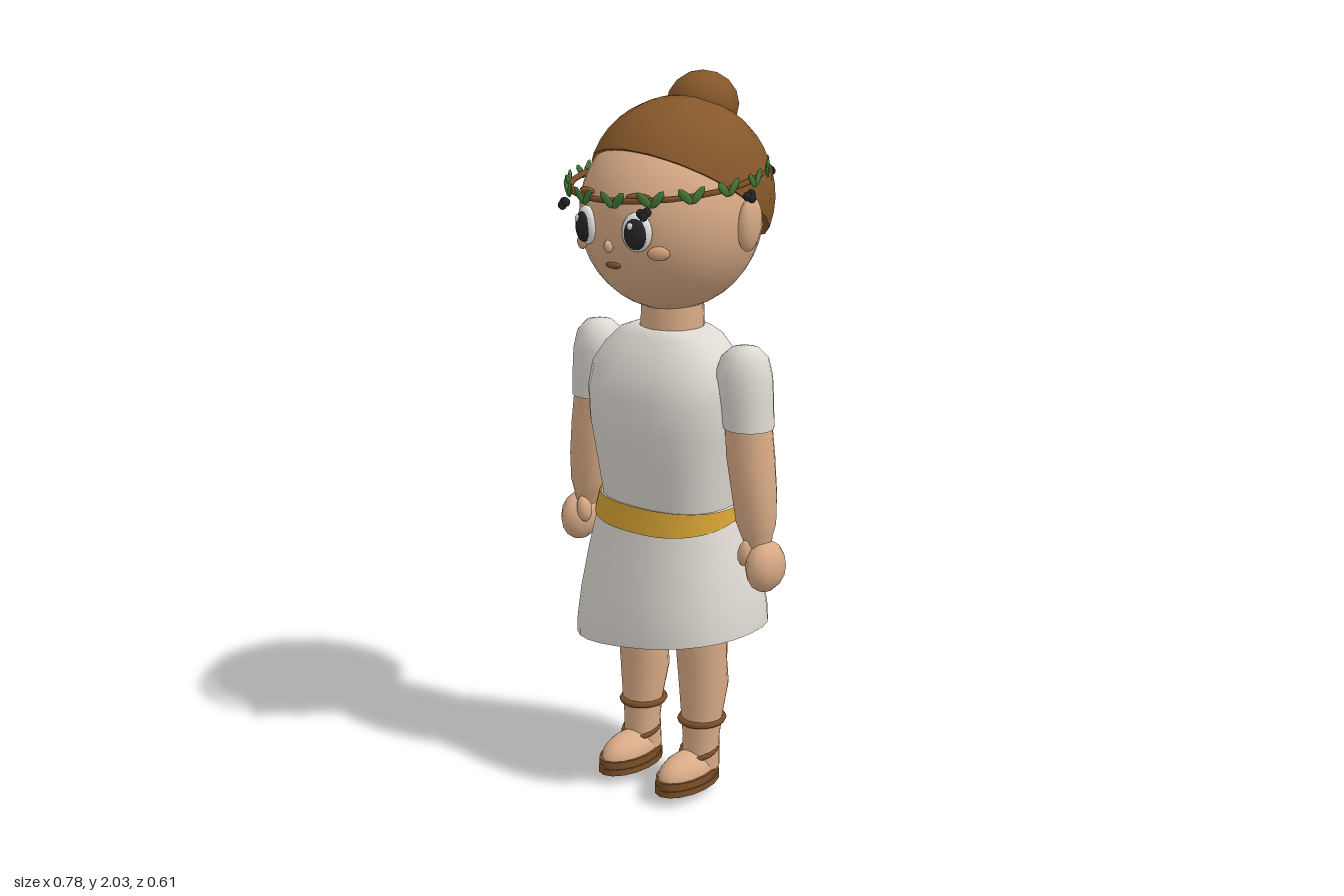
import * as THREE from 'three';

const mat = (name, color, side = THREE.FrontSide) => {
  const m = new THREE.MeshStandardMaterial({ color, side });
  m.name = name;
  return m;
};

// Stack of rounded rings, top to bottom: [y, halfWidth, zFront, zBack, xCentre]
function loft(rings, { n = 2, segs = 24, tweak } = {}) {
  const pos = [], idx = [];
  const bend = (v) => Math.sign(v) * Math.abs(v) ** (2 / n);
  rings.forEach(([y, rx, zf, zb, cx = 0], r) => {
    for (let i = 0; i < segs; i++) {
      const a = (i / segs) * Math.PI * 2;
      const p = new THREE.Vector3(
        cx + rx * bend(Math.sin(a)), y,
        (zf + zb) / 2 + ((zf - zb) / 2) * bend(Math.cos(a)));
      if (tweak) tweak(p, r);
      pos.push(p.x, p.y, p.z);
      if (r === rings.length - 1) continue;
      const j = (i + 1) % segs, t = r * segs, b = t + segs;
      idx.push(t + i, b + i, t + j, b + i, b + j, t + j);
    }
  });
  const g = new THREE.BufferGeometry();
  g.setAttribute('position', new THREE.Float32BufferAttribute(pos, 3));
  g.setIndex(idx);
  g.computeVertexNormals();
  return g;
}

export function createModel() {
  const model = new THREE.Group();
  model.name = 'figure';
  const skin = mat('skin', 0xd9ab86);
  const blush = mat('blush', 0xd6a07c);
  const hair = mat('hair brown', 0x85572a);
  const leather = mat('leather brown', 0x7c4f28);
  const cloth = mat('cloth white', 0xdedad2, THREE.DoubleSide);
  const gold = mat('gold', 0xd2a032, THREE.DoubleSide);
  const green = mat('leaf green', 0x447a38);
  const black = mat('black', 0x242426);
  const white = mat('eye white', 0xf2f2f0);

  const add = (name, geo, m, parent = model) => {
    const mesh = new THREE.Mesh(geo, m);
    mesh.name = name;
    parent.add(mesh);
    return mesh;
  };
  const ball = (name, m, [x, y, z], [sx, sy, sz], parent = model, w = 16, h = 12) => {
    const b = add(name, new THREE.SphereGeometry(1, w, h), m, parent);
    b.position.set(x, y, z);
    b.scale.set(sx, sy, sz);
    return b;
  };

  // Head, hair cap tilted back, bun
  ball('head', skin, [0, 1.63, -0.005], [0.243, 0.262, 0.258], model, 28, 20);
  const cap = new THREE.Group();
  cap.name = 'hairCap';
  cap.position.set(0, 1.675, -0.043);
  cap.rotation.x = -0.56;
  cap.scale.set(0.248, 0.262, 0.272);
  model.add(cap);
  add('hair', new THREE.SphereGeometry(1, 20, 10, 0, Math.PI * 2, 0, Math.PI / 2), hair, cap);
  add('hairUnderside', new THREE.CircleGeometry(1, 20).rotateX(Math.PI / 2), hair, cap);
  ball('bun', hair, [0, 1.908, -0.135], [0.102, 0.092, 0.096], model, 8, 8);

  // Face
  ball('nose', skin, [0, 1.573, 0.248], [0.013, 0.017, 0.014], model, 10, 8);
  ball('mouth', leather, [0, 1.52, 0.23], [0.026, 0.009, 0.01], model, 12, 8);
  for (const s of [-1, 1]) {
    const eye = new THREE.Group();
    eye.name = s > 0 ? 'leftEye' : 'rightEye';
    eye.position.set(s * 0.088, 1.618, 0.235);
    eye.rotation.y = s * 0.3;
    model.add(eye);
    ball('eyeball', white, [0, 0, 0], [0.043, 0.052, 0.02], eye);
    ball('pupil', black, [0, -0.003, 0.009], [0.033, 0.042, 0.018], eye);
    ball('glint', white, [-0.01, 0.018, 0.023], [0.009, 0.01, 0.005], eye, 8, 6);
    const brow = ball('eyebrow', hair, [s * 0.09, 1.708, 0.23], [0.036, 0.01, 0.012], model, 10, 6);
    brow.rotation.y = s * 0.35;
    const cheek = ball('cheek', blush, [s * 0.135, 1.563, 0.204], [0.03, 0.019, 0.012], model, 12, 8);
    cheek.rotation.y = s * 0.6;
    const ear = ball('ear', skin, [s * 0.248, 1.622, -0.03], [0.024, 0.074, 0.043], model, 14, 10);
    ear.rotation.z = s * -0.08;
  }

  // Wreath: twig ring, leaf pairs and berry clusters
  const wreath = new THREE.Group();
  wreath.name = 'wreath';
  wreath.position.set(0, 1.73, 0.01);
  wreath.rotation.x = 0.11;
  model.add(wreath);
  const twig = add('twig', new THREE.TorusGeometry(0.25, 0.008, 6, 24).rotateX(Math.PI / 2), leather, wreath);
  twig.scale.z = 1.1;
  const onRing = (name, a, extra, y) => {
    const g = new THREE.Group();
    g.name = name;
    g.position.set(Math.sin(a) * (0.25 + extra), y, Math.cos(a) * (0.275 + extra));
    g.rotation.y = a;
    wreath.add(g);
    return g;
  };
  for (let i = 0; i < 16; i++) {
    const pair = onRing('leafPair', ((i + 0.5) / 16) * Math.PI * 2, 0.009, -0.016);
    for (const s of [-1, 1]) {
      const leaf = ball('leaf', green, [s * 0.017, 0.02, 0], [0.012, 0.028, 0.006], pair, 6, 4);
      leaf.rotation.z = s * -0.7;
    }
  }
  for (let i = 0; i < 6; i++) {
    const cluster = onRing('berries', ((i + 0.5) / 6) * Math.PI * 2, 0.025, -0.026);
    for (const [x, y, z] of [[-0.008, 0, 0], [0.009, 0.003, 0], [0, -0.006, 0.008]])
      ball('berry', black, [x, y, z], [0.012, 0.013, 0.012], cluster, 6, 5);
  }

  // Neck and bodice
  add('neck', new THREE.CylinderGeometry(0.085, 0.09, 0.14, 16).translate(0, 1.35, -0.01), skin);
  add('bodice', loft([
    [1.322, 0.085, 0.075, -0.09], [1.32, 0.115, 0.085, -0.098], [1.305, 0.155, 0.1, -0.108],
    [1.265, 0.195, 0.13, -0.125], [1.21, 0.228, 0.16, -0.136], [1.14, 0.234, 0.18, -0.142],
    [1.05, 0.228, 0.18, -0.144], [0.94, 0.212, 0.165, -0.144], [0.83, 0.2, 0.148, -0.142],
    [0.78, 0.19, 0.14, -0.135], [0.78, 0.001, 0.001, -0.001],
  ], { n: 2.4 }), cloth);

  // Skirt with slanted hem
  add('skirt', loft([
    [0.834, 0.19, 0.14, -0.14], [0.835, 0.212, 0.155, -0.163], [0.78, 0.225, 0.164, -0.175],
    [0.68, 0.25, 0.186, -0.2], [0.57, 0.272, 0.208, -0.222], [0.49, 0.283, 0.219, -0.232],
    [0.443, 0.285, 0.22, -0.234],
  ], { n: 2.3, segs: 28, tweak: (p) => { p.y += ((0.835 - p.y) / 0.39) * 0.15 * p.x; } }), cloth);

  // Sash, deeper at front and back than at the sides
  add('sash', loft([
    [0.837, 0.215, 0.158, -0.166], [0.8, 0.224, 0.166, -0.175],
  ], { n: 2.3, segs: 56, tweak: (p, r) => {
    if (!r) return;
    const k = Math.min(1, Math.abs(p.z + 0.005) / 0.165);
    p.y -= 0.032 * k;
    p.x *= 1 + 0.03 * k;
    p.z *= 1 + 0.045 * k;
  } }), gold);

  // Arms and legs, mirrored by side
  for (const s of [-1, 1]) {
    const side = s > 0 ? 'left' : 'right';
    const rings = (list) => list.map(([y, rx, zf, zb, cx]) => [y, rx, zf, zb, s * cx]);
    const part = (name, list, m) => add(side + name, loft(rings(list), { segs: 16 }), m);

    part('Sleeve', [
      [1.305, 0.002, 0.002, -0.002, 0.262], [1.297, 0.038, 0.036, -0.036, 0.262],
      [1.27, 0.066, 0.064, -0.064, 0.26], [1.22, 0.081, 0.075, -0.075, 0.258],
      [1.16, 0.076, 0.073, -0.073, 0.267], [1.08, 0.069, 0.069, -0.069, 0.277],
    ], cloth);
    part('Arm', [
      [1.11, 0.064, 0.064, -0.064, 0.274], [1.0, 0.066, 0.067, -0.066, 0.285],
      [0.9, 0.064, 0.06, -0.058, 0.299], [0.82, 0.058, 0.052, -0.05, 0.306],
      [0.785, 0.045, 0.044, -0.042, 0.309], [0.75, 0.035, 0.035, -0.035, 0.315],
    ], skin);
    ball(side + 'Hand', skin, [s * 0.343, 0.702, 0.004], [0.049, 0.072, 0.068], model, 10, 8);
    const thumb = ball(side + 'Thumb', skin, [s * 0.298, 0.738, 0.035], [0.021, 0.04, 0.024], model, 8, 6);
    thumb.rotation.z = s * -0.15;

    part('Leg', [
      [0.79, 0.095, 0.09, -0.1, 0.1], [0.6, 0.09, 0.085, -0.1, 0.105], [0.42, 0.073, 0.068, -0.083, 0.11],
      [0.36, 0.071, 0.062, -0.082, 0.11], [0.29, 0.07, 0.056, -0.09, 0.111], [0.2, 0.06, 0.052, -0.068, 0.112],
      [0.13, 0.053, 0.048, -0.058, 0.112], [0.04, 0.055, 0.05, -0.06, 0.11],
    ], skin);

    // Sandal: bare foot, two-layer sole, straps
    const foot = new THREE.Group();
    foot.name = side + 'Foot';
    foot.position.x = s * 0.108;
    model.add(foot);
    ball('foot', skin, [0, 0.035, 0.055], [0.06, 0.064, 0.108], foot);
    for (const [y, h, k] of [[0.009, 0.018, 1], [0.022, 0.01, 0.95], [0.034, 0.014, 0.98]]) {
      const sole = add('sole', new THREE.CylinderGeometry(1, 1, h, 16), leather, foot);
      sole.position.set(0, y, 0.052);
      sole.scale.set(0.068 * k, 1, 0.12 * k);
    }
    const strap = (name, y, z, rx, rz, tilt, tube) => {
      const t = add(name, new THREE.TorusGeometry(1, tube, 6, 18).rotateX(Math.PI / 2), leather, foot);
      t.scale.set(rx, 0.06, rz);
      t.position.set(s * 0.003, y, z);
      t.rotation.x = tilt;
    };
    strap('ankleBand', 0.185, -0.009, 0.059, 0.064, 0, 0.16);
    strap('instepStrap', 0.095, 0.002, 0.052, 0.056, 0.3, 0.12);
  }
  return model;
}
